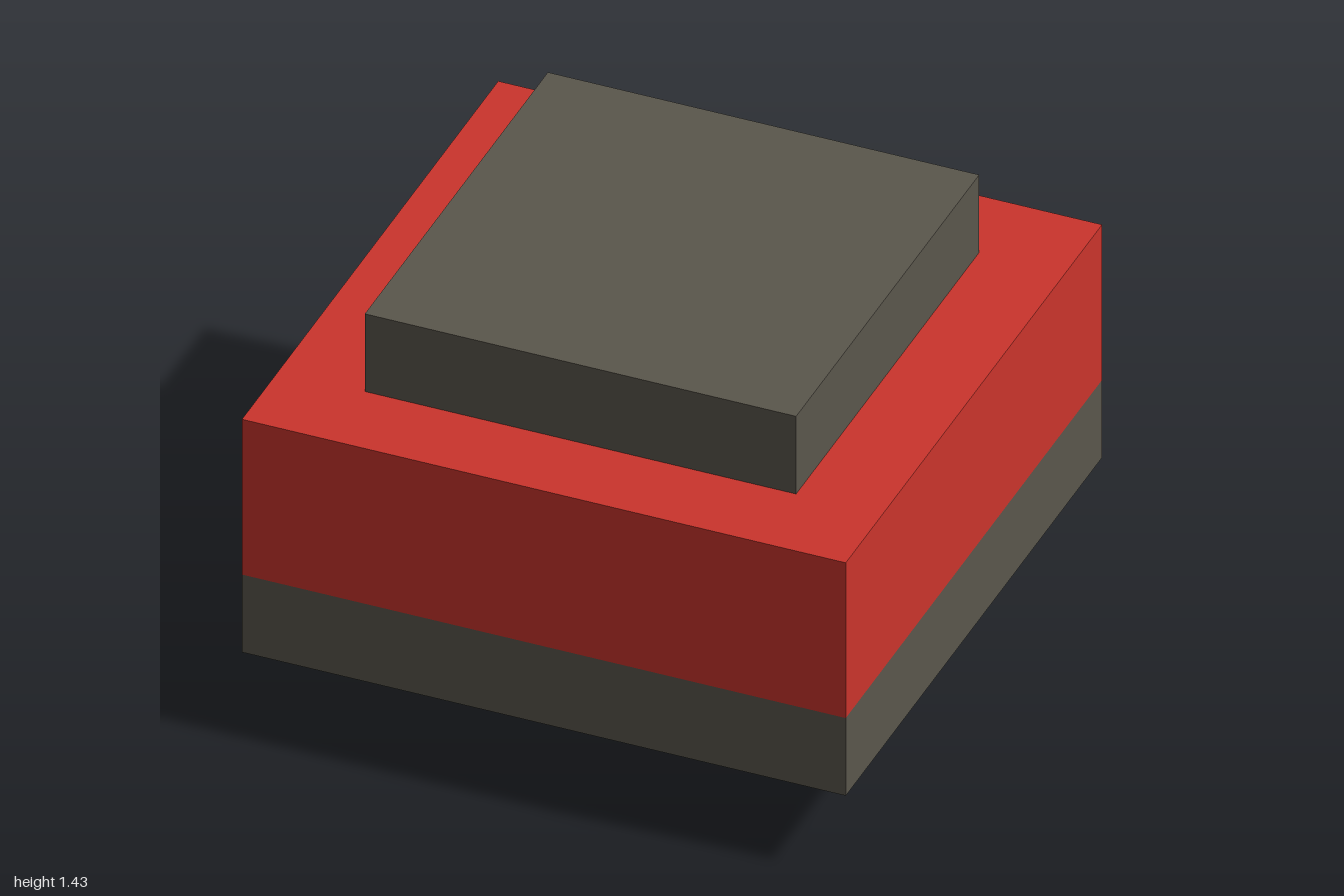
import * as THREE from 'three';

export function createModel() {
  const model = new THREE.Group();
  model.name = 'pushButton';

  const red = new THREE.MeshStandardMaterial({ color: 0xca342c });
  red.name = 'red';
  const grey = new THREE.MeshStandardMaterial({ color: 0x5a564c });
  grey.name = 'warm grey';

  // Square slab spanning bottom to top
  function slab(name, width, bottom, top, material) {
    const mesh = new THREE.Mesh(new THREE.BoxGeometry(width, top - bottom, width), material);
    mesh.name = name;
    mesh.position.y = (bottom + top) / 2;
    model.add(mesh);
  }

  // All sizes are whole multiples of one unit
  const u = 1 / 7;
  slab('stem', 2 * u, 0, 2 * u, grey);
  slab('base', 14 * u, 2 * u, 4 * u, grey);
  slab('body', 14 * u, 4 * u, 8 * u, red);
  slab('cap', 10 * u, 8 * u, 10 * u, grey);

  return model;
}
